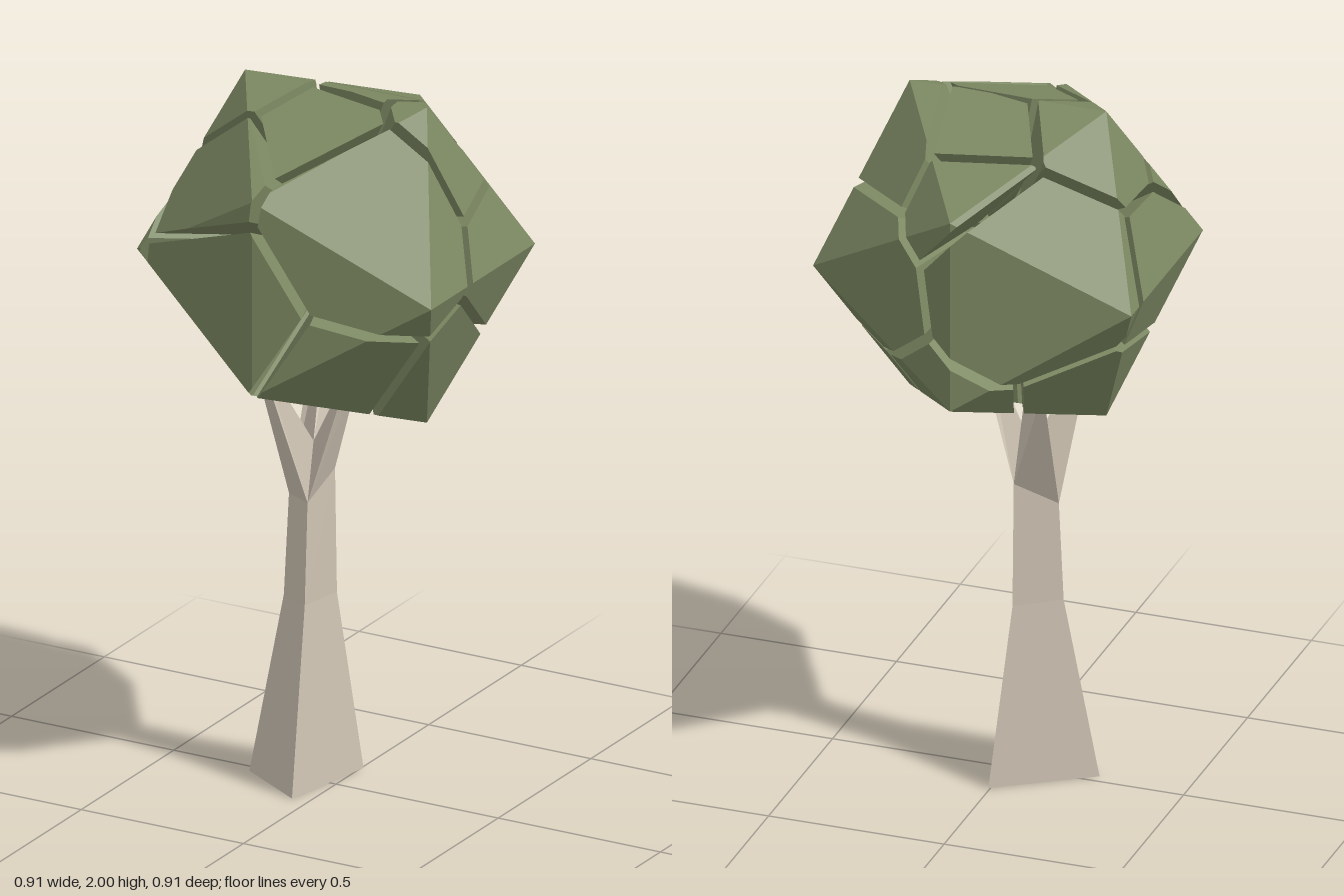
import * as THREE from 'three';
import { ConvexGeometry } from 'three/addons/geometries/ConvexGeometry.js';

const V = (x, y, z) => new THREE.Vector3(x, y, z);

// Tapered prism through a list of triangular rings (counter-clockwise from above)
function loft(rings) {
  const pos = [];
  const tri = (...pts) => pts.forEach((p) => pos.push(p.x, p.y, p.z));
  for (let r = 0; r < rings.length - 1; r++) {
    for (let i = 0; i < 3; i++) {
      const j = (i + 1) % 3, lo = rings[r], hi = rings[r + 1];
      tri(lo[i], lo[j], hi[j]);
      tri(lo[i], hi[j], hi[i]);
    }
  }
  const b = rings[0], t = rings[rings.length - 1];
  tri(b[0], b[2], b[1]);
  tri(t[0], t[1], t[2]);
  const g = new THREE.BufferGeometry();
  g.setAttribute('position', new THREE.Float32BufferAttribute(pos, 3));
  g.computeVertexNormals();
  return g;
}

// Corner points of the convex region n.x <= d for all planes
function corners(planes) {
  const pts = [], n = planes.length;
  const bc = V(), ca = V(), ab = V();
  for (let i = 0; i < n; i++) for (let j = i + 1; j < n; j++) for (let k = j + 1; k < n; k++) {
    const a = planes[i], b = planes[j], c = planes[k];
    bc.crossVectors(b.n, c.n);
    const det = a.n.dot(bc);
    if (Math.abs(det) < 1e-6) continue;
    ca.crossVectors(c.n, a.n);
    ab.crossVectors(a.n, b.n);
    const p = V().addScaledVector(bc, a.d).addScaledVector(ca, b.d).addScaledVector(ab, c.d).divideScalar(det);
    if (planes.every((q) => q.n.dot(p) <= q.d + 1e-6) && !pts.some((q) => q.distanceTo(p) < 5e-4)) pts.push(p);
  }
  return pts;
}

// Facing direction and size bias of each crown chunk
const CHUNKS = [
  [-0.14, -0.06, 0.43, 0.02], [0.30, 0.21, 0.30, 0.04], [-0.22, 0.28, 0.28, 0.01],
  [-0.01, 0.42, 0.17, 0], [0.03, 0.42, -0.12, -0.01], [0.30, 0.33, -0.12, 0],
  [-0.26, 0.41, 0.02, 0], [0, 0.36, -0.32, -0.02], [-0.25, 0.10, -0.36, 0.04],
  [-0.45, 0, 0, 0], [0.38, 0, -0.25, 0.03], [0.18, -0.28, 0.32, 0],
  [0.35, -0.32, 0, 0], [0.08, -0.38, -0.27, 0], [-0.05, -0.42, 0.20, 0], [-0.28, -0.36, -0.12, 0],
];

function createCrown(material) {
  const crown = new THREE.Group();
  crown.name = 'crown';
  crown.position.y = 1.548;

  // Planes of the 20-sided outer shape
  const p = new THREE.IcosahedronGeometry(0.533, 0).toNonIndexed?.().attributes.position
    ?? new THREE.IcosahedronGeometry(0.533, 0).attributes.position;
  const shell = [];
  for (let i = 0; i < p.count; i += 3) {
    const [a, b, c] = [0, 1, 2].map((k) => V().fromBufferAttribute(p, i + k));
    const n = a.clone().add(b).add(c).normalize();
    shell.push({ n, d: n.dot(a) });
  }

  // Split into chunks separated by narrow gaps
  const gap = 0.014;
  const seeds = CHUNKS.map(([x, y, z, w]) => ({ s: V(x, y, z).normalize(), w }));
  seeds.forEach((me, i) => {
    const cuts = seeds.filter((o) => o !== me).map((o) => {
      const n = o.s.clone().sub(me.s), len = n.length();
      return { n: n.divideScalar(len), d: (me.w - o.w) / len - gap };
    });
    const pts = corners([...shell, ...cuts]);
    if (pts.length < 4) return;
    const chunk = new THREE.Mesh(new ConvexGeometry(pts), material);
    chunk.name = 'leafChunk' + (i + 1);
    crown.add(chunk);
  });
  return crown;
}

function createTrunk(material) {
  const trunk = new THREE.Group();
  trunk.name = 'trunk';
  const add = (name, rings) => {
    const m = new THREE.Mesh(loft(rings), material);
    m.name = name;
    trunk.add(m);
  };

  // Three-sided stem, flared at the foot
  const top = [V(-0.145, 0.81, 0.0), V(-0.065, 0.81, 0.04), V(-0.04, 0.88, -0.065)];
  add('stem', [
    [V(-0.25, 0, 0.03), V(-0.05, 0, 0.15), V(0.005, 0, -0.14)],
    [V(-0.155, 0.52, 0.01), V(-0.065, 0.52, 0.055), V(-0.04, 0.52, -0.075)],
    top,
  ]);

  // One branch growing from each side of the stem, meeting at the crotch
  const crotch = V(-0.075, 0.97, -0.01);
  const tips = [V(-0.18, 1.22, 0.1), V(0.06, 1.22, 0), V(-0.135, 1.22, -0.17)];
  tips.forEach((tip, i) => {
    const base = [top[i], top[(i + 1) % 3], crotch];
    const mid = V().add(base[0]).add(base[1]).add(base[2]).divideScalar(3);
    const end = base.map((q) => q.clone().sub(mid).multiply(V(0.4, 0, 0.4)).add(tip));
    add('branch' + (i + 1), [base, end]);
  });
  return trunk;
}

export function createModel() {
  const leaf = new THREE.MeshStandardMaterial({ color: 0x7d8963, flatShading: true });
  const bark = new THREE.MeshStandardMaterial({ color: 0xcfc4b4, flatShading: true });
  const tree = new THREE.Group();
  tree.name = 'tree';
  tree.add(createCrown(leaf), createTrunk(bark));
  return tree;
}
